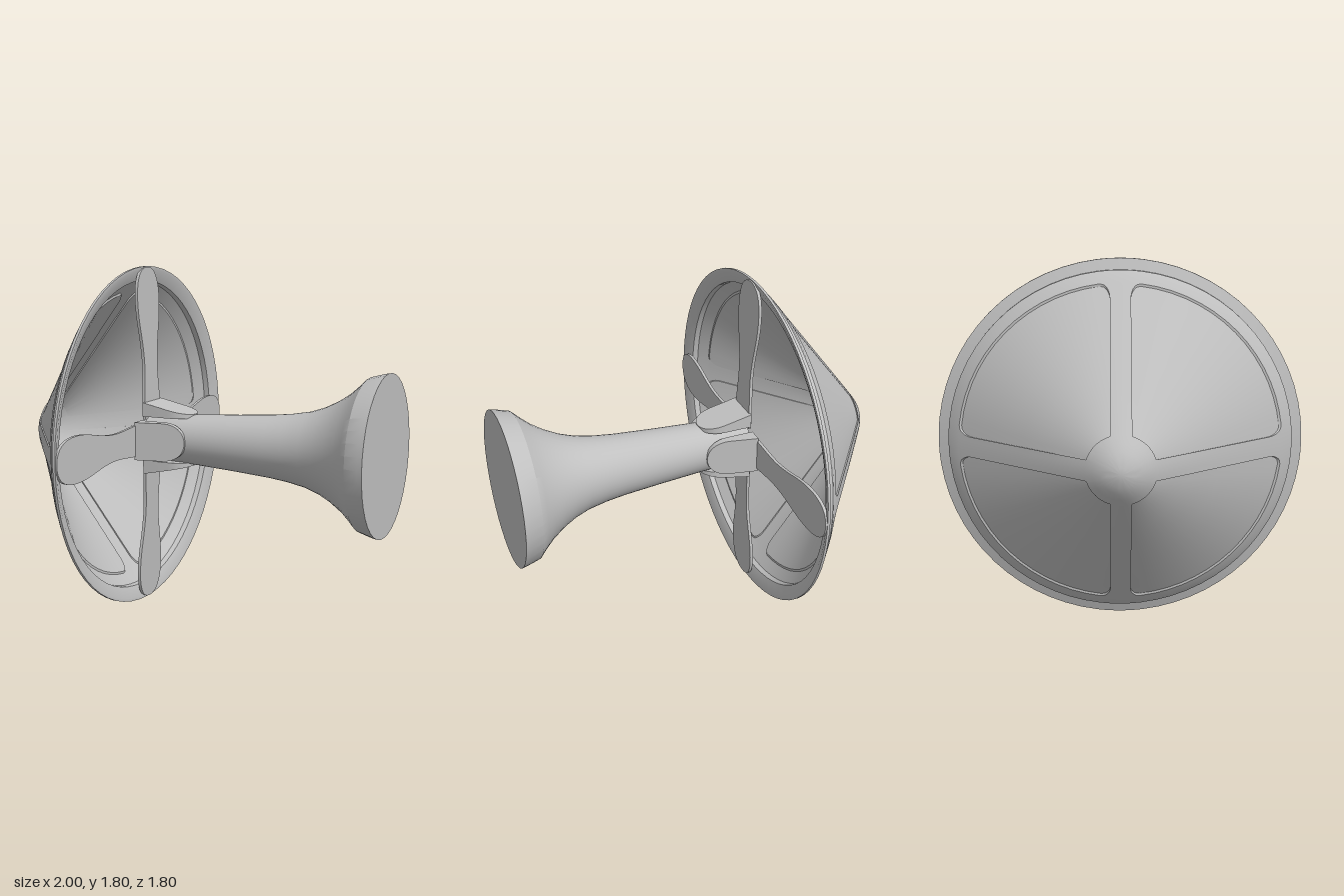
import * as THREE from 'three';
import { toCreasedNormals } from 'three/addons/utils/BufferGeometryUtils.js';

const grey = new THREE.MeshStandardMaterial({ color: 0xc0c0c0 });
grey.name = 'light grey';

function part(name, geometry, crease = 0.5) {
  const mesh = new THREE.Mesh(toCreasedNormals(geometry, crease), grey);
  mesh.name = name;
  return mesh;
}

// Cone dimensions along the x axis
const X0 = -0.92, X1 = -0.435, SLOPE = 1.29, WALL = 0.022, RECESS = 0.012;
const coneRadius = (x) => 0.165 + (x - X0) * SLOPE;

// Half the width of the rib between two panels, with rounded outer corners
function ribHalf(x) {
  const over = Math.max(0, x - (X1 - 0.05));
  return 0.05 + 0.05 - Math.sqrt(Math.max(0, 0.0025 - over * over));
}

// Closed hollow cone with four sunken panels
function coneGeometry() {
  const panelRows = [{ x: X0, sink: 0 }];
  const steps = [0, 0.25, 0.5, 0.75, 0.897, 0.92, 0.94, 0.96, 0.98, 0.992, 1];
  steps.forEach((s) => panelRows.push({ x: X0 + s * (X1 - X0), sink: RECESS }));
  panelRows.push({ x: X1, sink: 0 });
  panelRows.forEach((p) => { p.r = coneRadius(p.x); });
  const plain = (list) => list.map(([x, r]) => ({ x, r, sink: 0 }));
  const dome = [[-1, 0], [-0.996, 0.03], [-0.985, 0.065], [-0.968, 0.098], [-0.945, 0.132]];
  const inner = (p) => ({ ...p, r: Math.max(0, p.r - WALL) });
  const rows = [
    ...plain(dome), ...panelRows,
    ...plain([[-0.398, 0.838], [-0.388, 0.846], [-0.367, 0.846], [-0.347, 0.9], [-0.333, 0.9],
      [-0.333, 0.885], [-0.36, 0.825], [-0.39, 0.822]]),
    ...[...panelRows].reverse().map(inner),
    ...plain([[-0.94, 0.112], [-0.96, 0.075], [-0.975, 0.035], [-0.98, 0]]),
  ];
  const inside = 14, pos = [], index = [];
  let columns = 0;
  for (const { x, r, sink } of rows) {
    const px = Math.min(X1, Math.max(X0, x));
    const edge = Math.asin(ribHalf(px) / coneRadius(px));
    const angles = [[0, 0], [edge / 2, 0], [edge, 0]];
    for (let i = 0; i <= inside; i++) angles.push([edge + (Math.PI / 2 - 2 * edge) * i / inside, sink]);
    angles.push([Math.PI / 2 - edge, 0], [Math.PI / 2 - edge / 2, 0]);
    columns = angles.length * 4;
    for (let q = 0; q < 4; q++) {
      for (const [a, s] of angles) {
        const t = a + q * Math.PI / 2;
        pos.push(x, (r - s) * Math.cos(t), (r - s) * Math.sin(t));
      }
    }
  }
  for (let i = 0; i < rows.length - 1; i++) {
    for (let j = 0; j < columns; j++) {
      const k = (j + 1) % columns;
      const a = i * columns + j, b = i * columns + k;
      index.push(a, b, a + columns, b, b + columns, a + columns);
    }
  }
  const g = new THREE.BufferGeometry();
  g.setAttribute('position', new THREE.Float32BufferAttribute(pos, 3));
  g.setIndex(index);
  return g;
}

// Handle flaring into a wide foot, slightly narrower in depth
function handleGeometry() {
  const profile = [[0, -0.3], [0.122, -0.3], [0.133, -0.04], [0.148, 0.2], [0.163, 0.4], [0.175, 0.5],
    [0.194, 0.6], [0.222, 0.68], [0.258, 0.75], [0.305, 0.82], [0.35, 0.87], [0.385, 0.905],
    [0.405, 0.975], [0.41, 1], [0, 1]].map(([r, y]) => new THREE.Vector2(r, y));
  return new THREE.LatheGeometry(profile, 40).rotateZ(-Math.PI / 2).scale(1, 1, 0.956);
}

// Spoon-shaped blade leaning back slightly towards its tip
function bladeGeometry() {
  const s = new THREE.Shape();
  s.moveTo(-0.085, 0.1);
  s.bezierCurveTo(-0.085, 0.25, -0.06, 0.33, -0.073, 0.44);
  s.bezierCurveTo(-0.085, 0.55, -0.117, 0.62, -0.117, 0.73);
  s.bezierCurveTo(-0.117, 0.84, -0.075, 0.897, 0, 0.897);
  s.bezierCurveTo(0.075, 0.897, 0.117, 0.84, 0.117, 0.73);
  s.bezierCurveTo(0.117, 0.62, 0.085, 0.55, 0.073, 0.44);
  s.bezierCurveTo(0.06, 0.33, 0.085, 0.25, 0.085, 0.1);
  const g = new THREE.ExtrudeGeometry(s, { depth: 0.016, bevelEnabled: false, curveSegments: 10 });
  g.rotateY(Math.PI / 2);
  const p = g.attributes.position;
  for (let i = 0; i < p.count; i++) p.setX(i, p.getX(i) - 0.312 - 0.036 * (p.getY(i) - 0.1));
  return g;
}

// Wedge that fixes a blade to the handle, with a rounded end
function wedgeGeometry() {
  const s = new THREE.Shape();
  s.moveTo(-0.1, -0.305);
  s.lineTo(0.1, -0.305);
  s.lineTo(0.1, -0.16);
  s.bezierCurveTo(0.1, -0.09, 0.06, -0.042, 0, -0.042);
  s.bezierCurveTo(-0.06, -0.042, -0.1, -0.09, -0.1, -0.16);
  const g = new THREE.ExtrudeGeometry(s, { depth: 1, bevelEnabled: false, curveSegments: 10 });
  const p = g.attributes.position;
  for (let i = 0; i < p.count; i++) {
    const z = p.getX(i), x = p.getY(i);
    p.setXYZ(i, x, p.getZ(i) > 0.5 ? 0.192 - (x + 0.305) * 0.21 : 0.118, z);
  }
  return g;
}

export function createModel() {
  const model = new THREE.Group();
  model.name = 'conePlunger';
  const body = new THREE.Group();
  body.name = 'body';
  body.position.y = 0.9;
  model.add(body);

  body.add(part('cone', coneGeometry()), part('handle', handleGeometry()));

  // Four arms around the axis, one behind each rib
  for (let i = 0; i < 4; i++) {
    const arm = new THREE.Group();
    arm.name = 'arm' + (i + 1);
    arm.rotation.x = i * Math.PI / 2;
    arm.add(part('blade', bladeGeometry()), part('wedge', wedgeGeometry()));
    body.add(arm);
  }
  return model;
}
